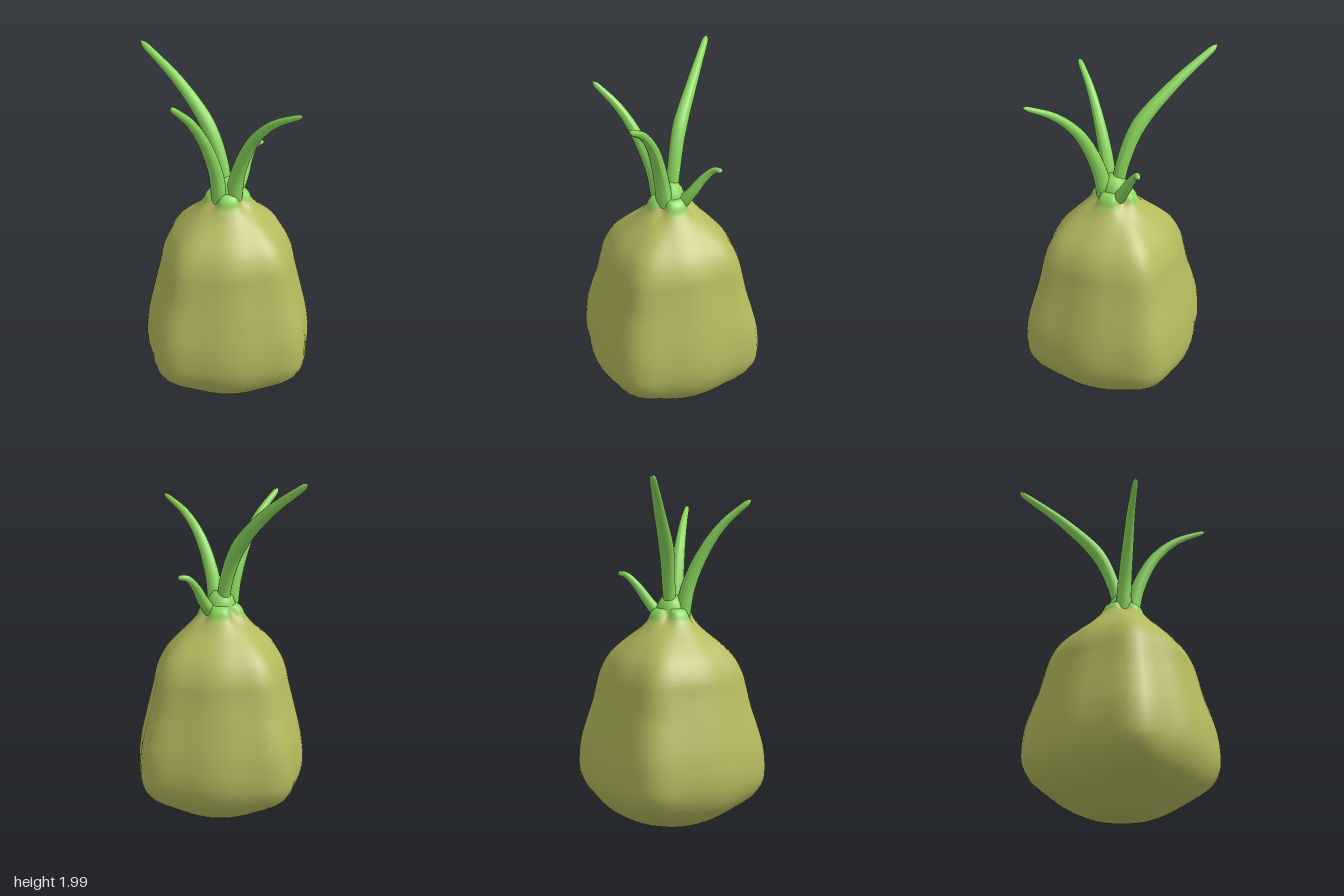
import * as THREE from 'three';

const flat = (name, color) => {
  const m = new THREE.MeshStandardMaterial({ color });
  m.name = name;
  return m;
};

// Profile stations: radius on the four sides, radius on the four corners, height
const PROFILE = [
  [0, 0, 0], [0.07, 0.07, 0.015], [0.13, 0.13, 0.03], [0.2, 0.19, 0.05], [0.29, 0.27, 0.09],
  [0.38, 0.39, 0.15], [0.44, 0.49, 0.22], [0.47, 0.535, 0.3], [0.476, 0.542, 0.38],
  [0.462, 0.53, 0.5], [0.435, 0.495, 0.62], [0.41, 0.46, 0.72], [0.385, 0.435, 0.82],
  [0.365, 0.41, 0.91], [0.32, 0.36, 1.0], [0.25, 0.275, 1.08], [0.18, 0.18, 1.15],
  [0.135, 0.11, 1.205], [0.12, 0.085, 1.24], [0.095, 0.075, 1.265], [0.05, 0.05, 1.272], [0, 0, 1.272],
];

// Four-cornered bulb; the lobed neck takes the leaf colour
function bulbGeometry() {
  const SEG = 64, ROWS = 76;
  const curve = new THREE.CatmullRomCurve3(PROFILE.map((p) => new THREE.Vector3(...p)));
  const positions = [], skin = [], blend = [], neck = [];
  const cornerWeight = (a) => Math.sin(2 * a) ** 6;
  for (let i = 0; i <= ROWS; i++) {
    const p = curve.getPoint(i / ROWS);
    for (let j = 0; j < SEG; j++) {
      const a = (j / SEG) * Math.PI * 2;
      const r = Math.max(0, p.x + (p.y - p.x) * cornerWeight(a));
      positions.push(r * Math.sin(a), Math.max(0, p.z), r * Math.cos(a));
    }
  }
  for (let i = 0; i < ROWS; i++) {
    const y = curve.getPoint((i + 0.5) / ROWS).z;
    for (let j = 0; j < SEG; j++) {
      const k = (j + 1) % SEG;
      const a = i * SEG + j, b = i * SEG + k, c = a + SEG, d = b + SEG;
      const level = y - 0.05 * cornerWeight(((j + 0.5) / SEG) * Math.PI * 2);
      const list = level > 1.215 ? neck : level > 1.185 ? blend : skin;
      list.push(a, b, d, a, d, c);
    }
  }
  const geo = new THREE.BufferGeometry();
  geo.setAttribute('position', new THREE.Float32BufferAttribute(positions, 3));
  geo.setIndex([...skin, ...blend, ...neck]);
  geo.addGroup(0, skin.length, 0);
  geo.addGroup(skin.length, blend.length, 1);
  geo.addGroup(skin.length + blend.length, neck.length, 2);
  geo.computeVertexNormals();
  return geo;
}

// Tapered round shoot along a curve, closed to a blunt tip
function shootGeometry(points, base, mid, tip) {
  const N = 36, R = 14;
  const curve = new THREE.CatmullRomCurve3(points.map((p) => new THREE.Vector3(...p)));
  const geo = new THREE.TubeGeometry(curve, N, 1, R, false);
  const pos = geo.attributes.position;
  const v = new THREE.Vector3();
  for (let i = 0; i <= N; i++) {
    const t = i / N;
    const centre = curve.getPointAt(t);
    let r = t < 0.4
      ? THREE.MathUtils.lerp(base, mid, t / 0.4)
      : THREE.MathUtils.lerp(mid, tip, (t - 0.4) / 0.6);
    if (t > 0.94) r *= Math.sqrt(Math.max(0, 1 - ((t - 0.94) / 0.06) ** 2));
    for (let j = 0; j <= R; j++) {
      const k = i * (R + 1) + j;
      v.fromBufferAttribute(pos, k).sub(centre).multiplyScalar(r).add(centre);
      pos.setXYZ(k, v.x, v.y, v.z);
    }
  }
  geo.computeVertexNormals();
  return geo;
}

export function createModel() {
  const skin = flat('olive skin', 0xb5b95d);
  const blend = flat('yellow green', 0xa4c65d);
  const leaf = flat('leaf green', 0x8bd85e);

  const model = new THREE.Group();
  model.name = 'sproutingBulb';
  const add = (name, geometry, material) => {
    const mesh = new THREE.Mesh(geometry, material);
    mesh.name = name;
    model.add(mesh);
  };

  add('bulb', bulbGeometry(), [skin, blend, leaf]);

  // Crown where the shoots join
  const crown = [[0.085, 1.24], [0.08, 1.27], [0.068, 1.305], [0.045, 1.335], [0, 1.345]];
  add('crown', new THREE.LatheGeometry(crown.map((p) => new THREE.Vector2(...p)), 24), leaf);

  // Shoots: path, then radius at base, middle and tip
  const shoots = [
    ['backRightShoot', [[-0.01, 1.25, -0.01], [-0.03, 1.4, -0.035], [-0.1, 1.6, -0.095],
      [-0.25, 1.8, -0.235], [-0.467, 1.99, -0.418]], 0.035, 0.042, 0.018],
    ['frontRightShoot', [[-0.045, 1.22, 0.045], [-0.07, 1.4, 0.075], [-0.13, 1.6, 0.145],
      [-0.2, 1.74, 0.22], [-0.3, 1.868, 0.33]], 0.045, 0.036, 0.016],
    ['frontLeftShoot', [[0.03, 1.22, 0.04], [0.055, 1.4, 0.075], [0.125, 1.6, 0.145],
      [0.22, 1.73, 0.235], [0.362, 1.825, 0.36]], 0.048, 0.036, 0.013],
    ['backLeftShoot', [[0.05, 1.22, -0.04], [0.09, 1.3, -0.09], [0.125, 1.39, -0.145],
      [0.165, 1.448, -0.19], [0.215, 1.457, -0.215]], 0.036, 0.029, 0.014],
  ];
  for (const [name, path, base, mid, tip] of shoots) add(name, shootGeometry(path, base, mid, tip), leaf);

  return model;
}
